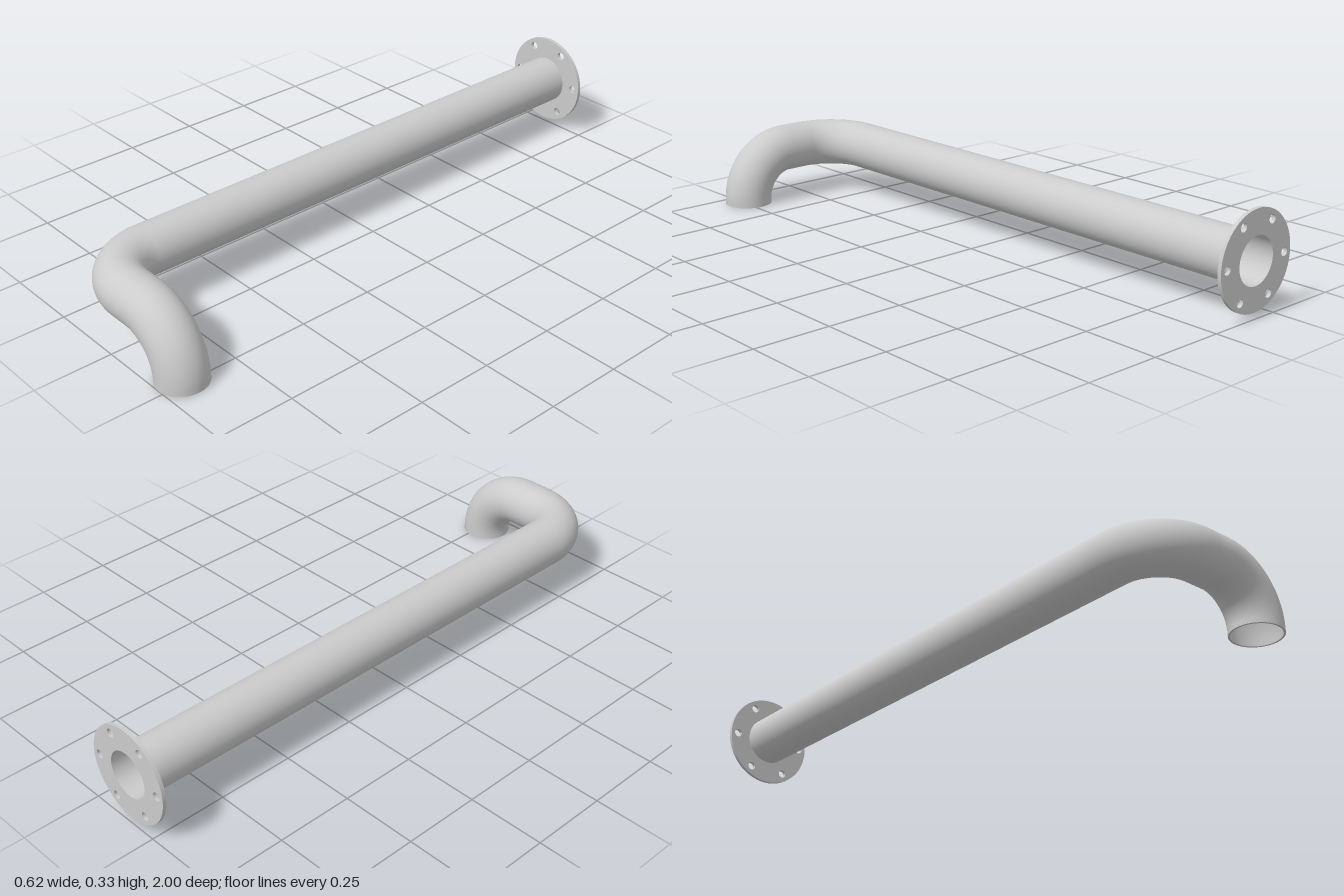
import * as THREE from 'three';

const V = (x, y, z) => new THREE.Vector3(x, y, z);
const OUTER = 0.08, BORE = 0.074, BEND = 0.16;
const PX = -0.16, PY = 0.173, PZ = 0.92; // pipe axis
const BACK = -1, PLATE = 0.012;

// Quarter circle about a centre, starting along direction a and ending along b
class QuarterBend extends THREE.Curve {
  constructor(center, a, b) {
    super();
    Object.assign(this, { center, a, b });
  }
  getPoint(t) {
    const q = t * Math.PI / 2;
    return this.center.clone()
      .addScaledVector(this.a, BEND * Math.cos(q))
      .addScaledVector(this.b, BEND * Math.sin(q));
  }
  getTangent(t) {
    const q = t * Math.PI / 2;
    return this.a.clone().multiplyScalar(-Math.sin(q)).addScaledVector(this.b, Math.cos(q));
  }
}

export function createModel() {
  const group = new THREE.Group();
  const material = new THREE.MeshStandardMaterial({ color: 0xcccccc, side: THREE.DoubleSide });
  const add = (name, geometry) => {
    const mesh = new THREE.Mesh(geometry, material);
    mesh.name = name;
    group.add(mesh);
    return mesh;
  };

  // Pipe run: long straight, sideways bend, short straight, downward bend, outlet
  const outletX = PX + 0.391, lowY = PY - BEND, midX = outletX - BEND;
  const run = {
    longPipe: new THREE.LineCurve3(V(PX, PY, BACK + PLATE), V(PX, PY, PZ - BEND)),
    sideBend: new QuarterBend(V(PX + BEND, PY, PZ - BEND), V(-1, 0, 0), V(0, 0, 1)),
    crossPipe: new THREE.LineCurve3(V(PX + BEND, PY, PZ), V(midX, PY, PZ)),
    downBend: new QuarterBend(V(midX, lowY, PZ), V(0, 1, 0), V(1, 0, 0)),
    outletPipe: new THREE.LineCurve3(V(outletX, lowY, PZ), V(outletX, 0, PZ)),
  };
  for (const [name, curve] of Object.entries(run)) {
    const steps = curve instanceof QuarterBend ? 24 : 1;
    add(name, new THREE.TubeGeometry(curve, steps, OUTER, 64));
    add(name + 'Bore', new THREE.TubeGeometry(curve, steps, BORE, 64));
  }

  // Rim closing the wall at the open outlet
  const rim = add('outletRim', new THREE.RingGeometry(BORE, OUTER, 64));
  rim.rotation.x = Math.PI / 2;
  rim.position.set(outletX, 0, PZ);

  // Flange plate with a bore and six bolt holes
  const plate = new THREE.Shape().absarc(0, 0, 0.153, 0, Math.PI * 2);
  const hole = (x, y, r) => plate.holes.push(new THREE.Path().absarc(x, y, r, 0, Math.PI * 2, true));
  hole(0, 0, BORE);
  for (let i = 0; i < 6; i++) {
    const a = i * Math.PI / 3;
    hole(0.126 * Math.cos(a), 0.126 * Math.sin(a), 0.0135);
  }
  const flange = add('flange', new THREE.ExtrudeGeometry(plate, {
    depth: PLATE, bevelEnabled: false, curveSegments: 48,
  }));
  flange.position.set(PX, PY, BACK);

  return group;
}
